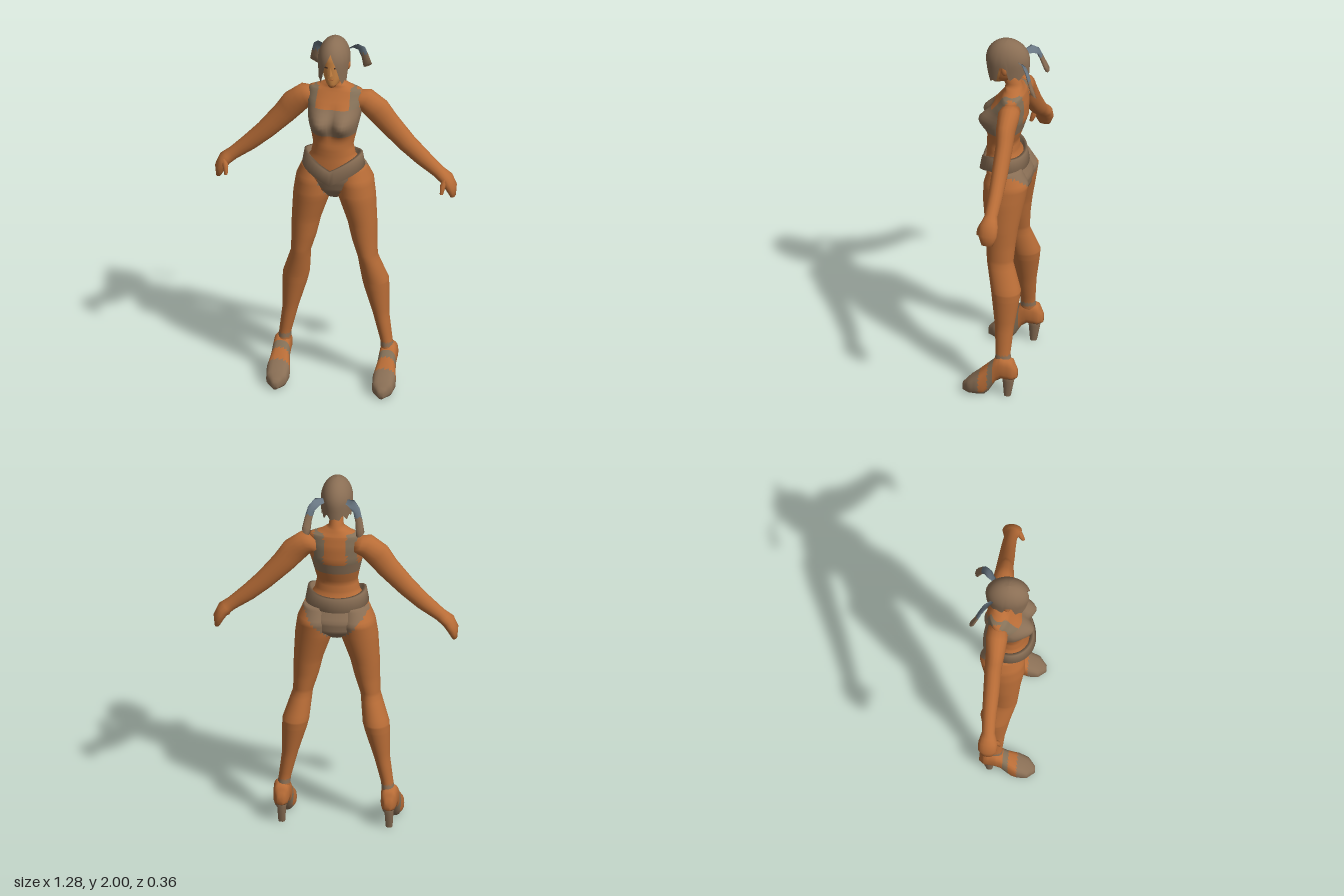
import * as THREE from 'three';

const mat = (name, color, side = THREE.FrontSide) => {
  const m = new THREE.MeshStandardMaterial({ color, side });
  m.name = name;
  return m;
};

// Closed surface through rows of points; pick(x, y, z) gives the material index of a face
function skin(name, rows, mats, pick = () => 0) {
  const n = rows[0].length, P = rows.flat(), tris = [];
  for (let i = 0; i < rows.length - 1; i++) {
    for (let j = 0; j < n; j++) {
      const a = i * n + j, b = i * n + (j + 1) % n, c = b + n, d = a + n;
      tris.push([a, b, c], [a, c, d]);
    }
  }
  // The enclosed volume tells which way the faces point
  let volume = 0;
  const mid = P.reduce((s, p) => s.add(p), new THREE.Vector3()).divideScalar(P.length);
  const rel = P.map((p) => p.clone().sub(mid));
  for (const [a, b, c] of tris) volume += rel[a].dot(rel[b].clone().cross(rel[c]));
  const buckets = mats.map(() => []);
  for (const [a, b, c] of tris) {
    const m = P[a].clone().add(P[b]).add(P[c]).divideScalar(3);
    buckets[pick(m.x, m.y, m.z)].push(...(volume > 0 ? [a, b, c] : [a, c, b]));
  }
  const g = new THREE.BufferGeometry().setFromPoints(P);
  g.setIndex(buckets.flat());
  let start = 0;
  buckets.forEach((b, k) => { g.addGroup(start, b.length, k); start += b.length; });
  g.computeVertexNormals();
  const mesh = new THREE.Mesh(g, mats.length > 1 ? mats : mats[0]);
  mesh.name = name;
  return mesh;
}

// Rings between sections of [centre, u, v], subdivided, with closed ends
function loftRows(sections, n = 16, sub = 1, power = 1, shape = (p) => p) {
  const V = (a) => new THREE.Vector3(...a), rows = [];
  const bend = (t) => Math.sign(t) * Math.abs(t) ** power;
  const ring = (c, u, v) => Array.from({ length: n }, (_, j) => {
    const a = (j / n) * Math.PI * 2;
    return shape(c.clone().addScaledVector(u, bend(Math.cos(a))).addScaledVector(v, bend(Math.sin(a))));
  });
  const S = sections.map((s) => s.map(V)), zero = new THREE.Vector3();
  rows.push(ring(S[0][0], zero, zero));
  for (let i = 0; i < S.length - 1; i++) {
    for (let k = 0; k < sub; k++) {
      rows.push(ring(...S[i].map((p, q) => p.clone().lerp(S[i + 1][q], k / sub))));
    }
  }
  const last = S[S.length - 1];
  rows.push(ring(...last), ring(last[0], zero, zero));
  return rows;
}

// Upright section: height, centre x, half width, front z, back z
const upright = (y, cx, hw, zf, zb) => [[cx, y, (zf + zb) / 2], [hw, 0, 0], [0, 0, (zf - zb) / 2]];

// Sections across a path in the xy plane: x, y, radius, z, half depth
const along = (path, s) => path.map(([x, y, r, z, d], i) => {
  const a = path[Math.max(i - 1, 0)], b = path[Math.min(i + 1, path.length - 1)];
  const dx = b[0] - a[0], dy = b[1] - a[1], l = Math.hypot(dx, dy);
  return [[s * x, y, z], [s * -dy / l * r, dx / l * r, 0], [0, 0, d]];
});

export function createModel() {
  const body = mat('skin', 0xb96d37), face = mat('face', 0xcb8543), cloth = mat('cloth', 0x8b7056);
  const hair = mat('hair', 0x8a6e54, THREE.DoubleSide), tie = mat('hair tie', 0x687682);
  const trim = mat('strap', 0x857158), dark = mat('eye', 0x4a3020);
  const group = new THREE.Group();

  // Swimwear areas
  const brief = (x, y, z) => {
    const w = Math.abs(x);
    if (y > 1.27 || y < 1.06) return false;
    return z > 0 ? w < 0.025 + (y - 1.09) * 0.45 : w < 0.02 + (y - 1.08) * 0.85;
  };
  const bodyColour = (x, y, z) => {
    const w = Math.abs(x);
    if (brief(x, y, z)) return 1;
    if (y < 1.47 || y > 1.705) return 0;
    if (z > -0.02) {
      if (y < 1.615) return 1;
      return w > 0.085 && w < 0.135 ? 2 : 0;
    }
    return y < 1.53 ? 1 : w > 0.06 && w < 0.115 ? 2 : 0;
  };

  // Torso with neck
  const torso = [
    [1.79, 0.033, 0.04, -0.05], [1.735, 0.04, 0.02, -0.07], [1.71, 0.085, 0.02, -0.08],
    [1.69, 0.14, 0.03, -0.09], [1.63, 0.148, 0.068, -0.1], [1.55, 0.138, 0.09, -0.1],
    [1.47, 0.12, 0.1, -0.075], [1.4, 0.106, 0.115, -0.05], [1.34, 0.118, 0.115, -0.055],
    [1.27, 0.165, 0.12, -0.09], [1.2, 0.19, 0.11, -0.122], [1.14, 0.15, 0.09, -0.115], [1.085, 0.05, 0.04, -0.05],
  ].map(([y, hw, zf, zb]) => upright(y, 0, hw, zf, zb));
  const chest = (p) => {
    if (p.z > 0.01) {
      const d = (Math.abs(p.x) - 0.066) ** 2 + (p.y - 1.535) ** 2;
      p.z += 0.07 * Math.exp(-d / 0.0042);
    }
    return p;
  };
  group.add(skin('torso', loftRows(torso, 48, 4, 1, chest), [body, cloth, trim], bodyColour));

  // Belt, dipping to a V at the front
  const beltRow = (grow, top) => Array.from({ length: 40 }, (_, j) => {
    const a = (j / 40) * Math.PI * 2, c = Math.cos(a), s = Math.sin(a);
    const y = c > 0 ? 1.275 + 0.08 * Math.abs(s) : 1.355 + 0.025 * c;
    return new THREE.Vector3((0.15 + grow) * s, top ? y : y - 0.075, 0.025 + (0.112 + grow) * c);
  });
  group.add(skin('belt', [beltRow(-0.025, false), beltRow(0.016, false), beltRow(0.003, true),
    beltRow(-0.012, true), beltRow(-0.025, false)], [cloth]));

  // Head
  const head = [
    [1.745, 0.018, 0.092, 0.04], [1.765, 0.036, 0.1, -0.02], [1.8, 0.053, 0.102, -0.06], [1.86, 0.064, 0.102, -0.08],
    [1.92, 0.066, 0.1, -0.08], [1.97, 0.04, 0.06, -0.05],
  ].map(([y, hw, zf, zb]) => upright(y, 0, hw, zf, zb));
  group.add(skin('head', loftRows(head, 28, 2), [body, face], (x, y, z) => (z > 0.04 && y > 1.76 ? 1 : 0)));
  const nose = new THREE.Mesh(new THREE.ConeGeometry(0.011, 0.045, 4), face);
  nose.name = 'nose';
  nose.position.set(0, 1.842, 0.103);
  group.add(nose);
  const mouth = new THREE.Mesh(new THREE.BoxGeometry(0.026, 0.007, 0.006), body);
  mouth.name = 'mouth';
  mouth.position.set(0, 1.795, 0.101);
  group.add(mouth);

  // Hair cap with a parted fringe, ear gaps and a jagged hem: [angle from front, hem height]
  const hem = [[0, 1.945], [0.3, 1.89], [0.62, 1.8], [0.8, 1.765], [1.0, 1.79], [1.15, 1.765], [1.35, 1.87],
    [1.65, 1.87], [1.8, 1.79], [2.1, 1.82], [2.3, 1.79], [2.6, 1.83], [2.85, 1.8], [3.15, 1.81]];
  const hemAt = (a) => {
    const i = Math.max(1, hem.findIndex((h) => h[0] >= a)), [a0, y0] = hem[i - 1], [a1, y1] = hem[i];
    return y0 + (y1 - y0) * (a - a0) / (a1 - a0);
  };
  const hairRows = Array.from({ length: 13 }, (_, i) => Array.from({ length: 64 }, (_, j) => {
    const a = (j / 64) * Math.PI * 2 - Math.PI, c = Math.cos(a), t = (i / 12) ** 1.6;
    const y = 2 - (2 - hemAt(Math.abs(a))) * t;
    const r = y > 1.88 ? Math.sqrt(Math.max(0, 1 - ((y - 1.88) / 0.12) ** 2)) : 1 - (1.88 - y) * 0.5;
    return new THREE.Vector3(0.084 * r * Math.sin(a), y, 0.01 + (c > 0 ? 0.115 : 0.12) * r * c);
  }));
  group.add(skin('hair', hairRows, [hair]));

  for (const s of [1, -1]) {
    const side = s > 0 ? 'left' : 'right';

    // Eye and ear
    const eye = new THREE.Mesh(new THREE.BoxGeometry(0.02, 0.007, 0.006), dark);
    eye.name = side + 'Eye';
    eye.position.set(s * 0.025, 1.862, 0.094);
    eye.rotation.y = s * 0.3;
    const ear = new THREE.Mesh(new THREE.SphereGeometry(0.024, 10, 8), body);
    ear.name = side + 'Ear';
    ear.scale.set(0.6, 1.2, 0.8);
    ear.position.set(s * 0.072, 1.85, 0.008);
    group.add(eye, ear);

    // Swept-back bunch of hair
    const bunch = [[0.06, 1.9, -0.07, 0.012], [0.09, 1.905, -0.1, 0.02], [0.118, 1.88, -0.125, 0.018],
      [0.132, 1.83, -0.142, 0.018], [0.142, 1.765, -0.165, 0.022]]
      .map(([x, y, z, r]) => [[s * x, y, z], [s * r, r * 0.5, 0], [0, r * 0.6, r * 0.7]]);
    group.add(skin(side + 'Bunch', loftRows(bunch, 8, 2), [hair, tie], (x, y) => (y > 1.85 ? 1 : 0)));

    // Arm with hand, and thumb
    const arm = along([[0.1, 1.635, 0.045, -0.035, 0.05], [0.16, 1.63, 0.064, -0.035, 0.057],
      [0.22, 1.58, 0.07, -0.035, 0.05], [0.275, 1.51, 0.062, -0.04, 0.045], [0.375, 1.4, 0.052, -0.04, 0.042],
      [0.46, 1.32, 0.045, -0.04, 0.038], [0.545, 1.25, 0.035, -0.037, 0.034], [0.588, 1.215, 0.036, -0.035, 0.05],
      [0.612, 1.17, 0.03, -0.035, 0.05], [0.622, 1.12, 0.014, -0.035, 0.03]], s);
    group.add(skin(side + 'Arm', loftRows(arm, 16, 2), [body]));
    const thumb = along([[0.588, 1.23, 0.014, -0.005, 0.015], [0.577, 1.19, 0.015, 0.012, 0.016],
      [0.572, 1.15, 0.009, 0.025, 0.01]], s);
    group.add(skin(side + 'Thumb', loftRows(thumb, 8), [body]));

    // Leg
    const leg = [[1.27, 0.095, 0.075, 0.085, -0.085], [1.19, 0.108, 0.096, 0.108, -0.128],
      [1.1, 0.118, 0.099, 0.11, -0.113], [0.95, 0.148, 0.077, 0.09, -0.085], [0.85, 0.16, 0.066, 0.083, -0.072],
      [0.75, 0.177, 0.052, 0.075, -0.065], [0.6, 0.21, 0.07, 0.045, -0.113], [0.55, 0.217, 0.065, 0.038, -0.108],
      [0.4, 0.24, 0.042, 0.017, -0.085], [0.25, 0.268, 0.032, 0.006, -0.072], [0.19, 0.275, 0.035, 0.01, -0.08]]
      .map(([y, x, hw, zf, zb]) => upright(y, s * x, hw, zf, zb));
    group.add(skin(side + 'Leg', loftRows(leg, 32, 5), [body, cloth],
      (x, y, z) => (brief(x, y, z) || (y > 0.22 && y < 0.245) ? 1 : 0)));

    // Foot in an open shoe: z, half width, bottom, top
    const foot = [[-0.112, 0.018, 0.115, 0.165], [-0.085, 0.04, 0.1, 0.22], [-0.03, 0.046, 0.105, 0.235],
      [0, 0.046, 0.085, 0.22], [0.035, 0.05, 0.025, 0.185], [0.06, 0.056, 0, 0.16], [0.09, 0.062, 0, 0.13],
      [0.14, 0.054, 0, 0.085], [0.178, 0.016, 0.002, 0.045]]
      .map(([z, hw, b, t]) => [[s * 0.281, (b + t) / 2, z], [hw, 0, 0], [0, (t - b) / 2, 0]]);
    const sole = (z) => (z < -0.02 ? 0.115 : Math.max(0.025, 0.11 - (z + 0.02) * 1.1));
    group.add(skin(side + 'Foot', loftRows(foot, 20, 3, 0.75), [body, cloth, trim],
      (x, y, z) => (z > 0.085 || y < sole(z) ? 1 : z > 0.012 && z < 0.04 ? 2 : 0)));

    // Shoe heel
    const heel = [[0.14, 0.034, -0.03, -0.1], [0.09, 0.024, -0.035, -0.095], [0, 0.018, -0.042, -0.078]]
      .map(([y, hw, zf, zb]) => upright(y, s * 0.281, hw, zf, zb));
    group.add(skin(side + 'Heel', loftRows(heel, 10, 1, 0.8), [cloth]));
  }
  return group;
}
